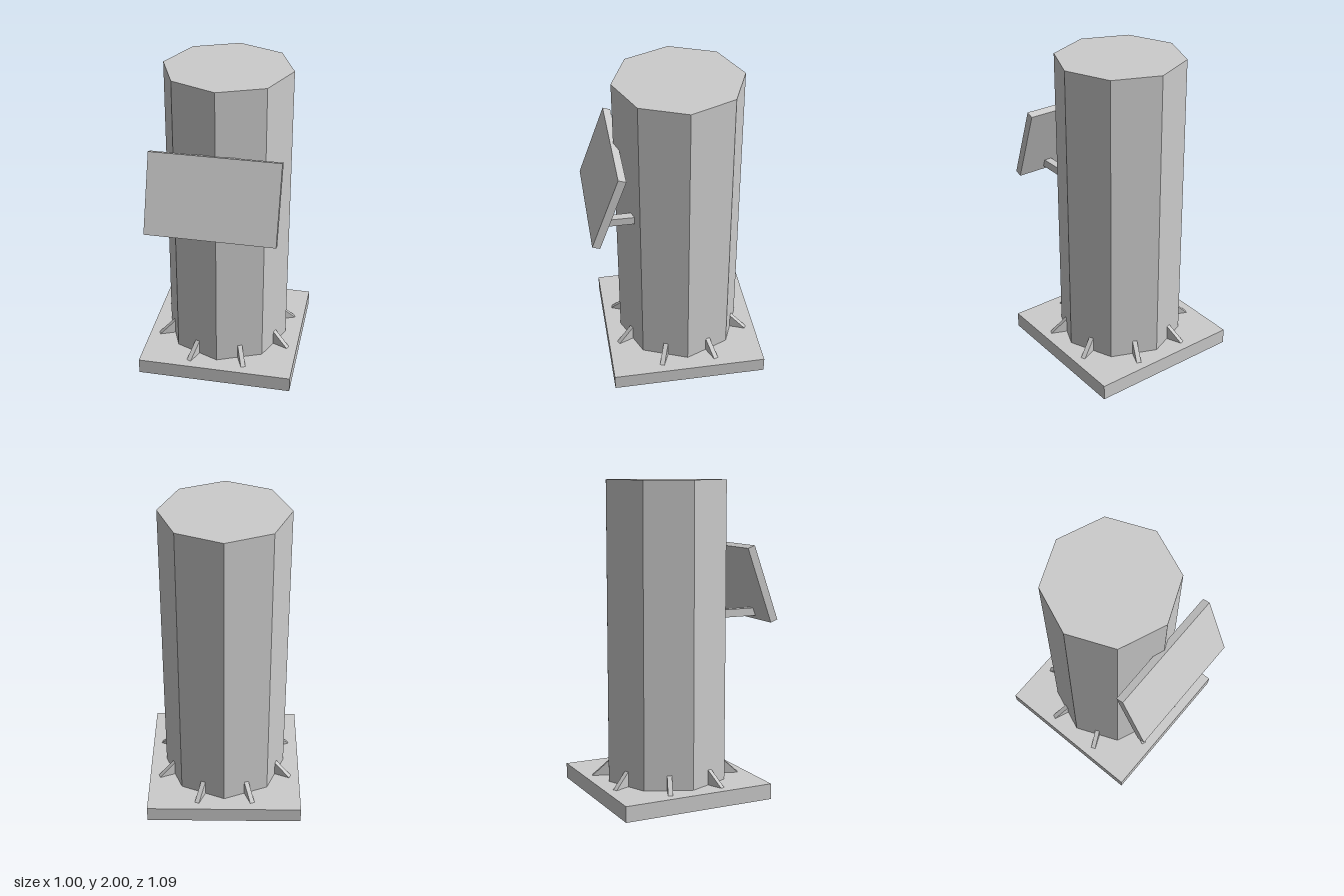
import * as THREE from 'three';

export function createModel() {
  const model = new THREE.Group();
  const material = new THREE.MeshStandardMaterial({ color: 0xcccccc, flatShading: true });
  const CENTRE_Z = -0.045; // axis of column and base

  const add = (name, geometry, x, y, z) => {
    const mesh = new THREE.Mesh(geometry, material);
    mesh.name = name;
    mesh.position.set(x, y, z);
    model.add(mesh);
    return mesh;
  };

  // Square base plate and octagonal column with a corner facing forward
  add('basePlate', new THREE.BoxGeometry(1, 0.1, 1), 0, 0.05, CENTRE_Z);
  add('column', new THREE.CylinderGeometry(0.4, 0.4, 1.9, 8), 0, 1.05, CENTRE_Z);

  // Triangular gussets, one against each column face
  const profile = new THREE.Shape();
  profile.moveTo(0.365, 0);
  profile.lineTo(0.475, 0);
  profile.lineTo(0.365, 0.1);
  profile.closePath();
  const gusset = new THREE.ExtrudeGeometry(profile, { depth: 0.03, bevelEnabled: false });
  gusset.translate(0, 0, -0.019);
  for (let i = 0; i < 8; i++) {
    add('gusset', gusset, 0, 0.1, CENTRE_Z).rotation.y = (i + 0.5) * Math.PI / 4;
  }

  // Tilted sign panel, its top leaning back against the column
  add('signPanel', new THREE.BoxGeometry(0.8, 0.5, 0.05), 0, 1.358, 0.435).rotation.x = -Math.PI / 9;

  // Pair of arms holding the lower part of the panel
  for (const side of [-1, 1]) {
    add('panelArm', new THREE.BoxGeometry(0.05, 0.05, 0.235), side * 0.2, 1.163, 0.3825);
  }

  return model;
}
